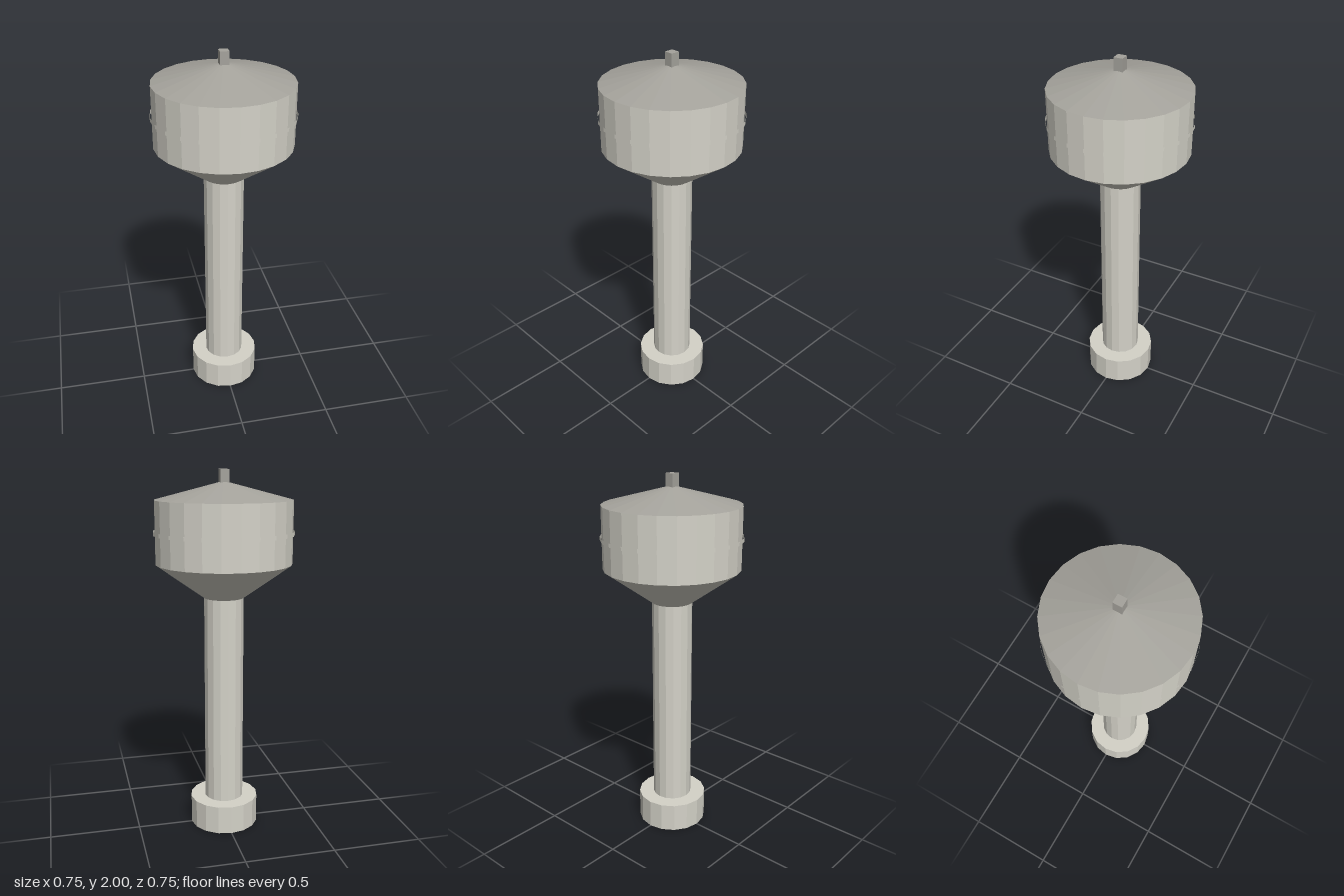
import * as THREE from 'three';

export function createModel() {
  const group = new THREE.Group();
  group.name = 'waterTower';

  const concrete = new THREE.MeshStandardMaterial({ color: 0xd4d2c8, flatShading: true, side: THREE.DoubleSide });
  concrete.name = 'pale concrete';
  const roofing = new THREE.MeshStandardMaterial({ color: 0xa5a39c, flatShading: true, side: THREE.DoubleSide });
  roofing.name = 'grey roofing';

  const add = (name, geometry, material, y = 0) => {
    const mesh = new THREE.Mesh(geometry, material);
    mesh.name = name;
    mesh.position.y = y;
    group.add(mesh);
  };

  // Open-ended ring or cone between two heights
  const shell = (name, material, rBottom, rTop, y0, y1, sides) =>
    add(name, new THREE.CylinderGeometry(rTop, rBottom, y1 - y0, sides, 1, true), material, (y0 + y1) / 2);

  // Plinth: hollow from below, closed on top
  shell('plinthWall', concrete, 0.192, 0.192, 0, 0.16, 16);
  add('plinthTop', new THREE.CircleGeometry(0.192, 16).rotateX(-Math.PI / 2), concrete, 0.16);

  // Shaft, flared tank floor and tank wall
  shell('shaft', concrete, 0.109, 0.109, 0.16, 1.325, 16);
  shell('funnel', concrete, 0.109, 0.368, 1.325, 1.51, 24);
  shell('tankWall', concrete, 0.368, 0.368, 1.51, 1.844, 24);

  // Thin band around the tank
  shell('tankBand', concrete, 0.377, 0.377, 1.662, 1.683, 24);

  // Conical roof with a square vent on its peak
  shell('roof', roofing, 0.368, 0, 1.844, 1.94, 24);
  add('roofVent', new THREE.BoxGeometry(0.048, 0.08, 0.048), roofing, 1.96);

  return group;
}
